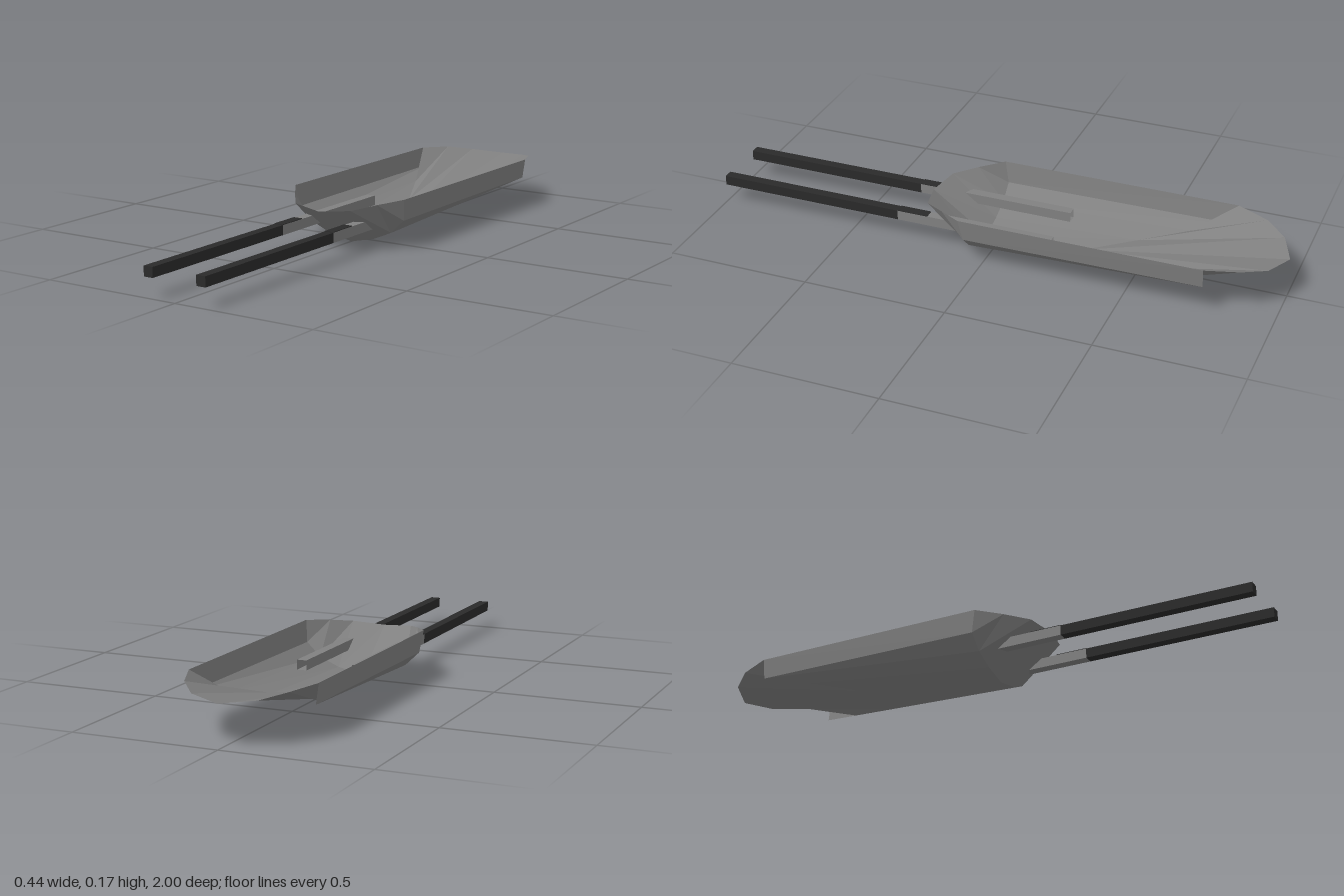
import * as THREE from 'three';

export function createModel() {
  const model = new THREE.Group();
  const steel = new THREE.MeshStandardMaterial({ color: 0x808080, flatShading: true, side: THREE.DoubleSide });
  steel.name = 'grey steel';
  const grip = new THREE.MeshStandardMaterial({ color: 0x2a2a2a });
  grip.name = 'dark grip';

  // Half cross-sections from the centre line out to the rim, front to back
  const rows = [
    [[0, 0.14, 0.25], [0.11, 0.15, 0.225], [0.165, 0.163, 0.15], [0.22, 0.173, 0.07], [0.22, 0.173, 0.07]],
    [[0, 0, 0.055], [0.09, 0.02, 0.055], [0.16, 0.05, 0.055], [0.21, 0.098, 0.055], [0.22, 0.173, 0.07]],
    [[0, 0.02, -0.3], [0.09, 0.042, -0.46], [0.16, 0.075, -0.62], [0.21, 0.105, -0.77], [0.22, 0.173, -0.77]],
    [[0, 0.14, -1], [0.11, 0.15, -0.955], [0.175, 0.165, -0.88], [0.22, 0.173, -0.77], [0.22, 0.173, -0.77]],
  ];
  const pos = [];
  const tri = (a, b, c) => {
    const [u, v, w] = [a, b, c].map((p) => new THREE.Vector3(...p));
    if (v.sub(u).cross(w.sub(u)).length() > 1e-7) pos.push(...a, ...b, ...c);
  };
  for (const s of [1, -1]) {
    const at = (i, j) => [s * rows[i][j][0], rows[i][j][1], rows[i][j][2]];
    for (let i = 0; i < 3; i++) {
      for (let j = 0; j < 4; j++) {
        const [a, b, c, d] = [at(i, j), at(i, j + 1), at(i + 1, j + 1), at(i + 1, j)];
        if (s > 0) { tri(a, b, c); tri(a, c, d); } else { tri(a, c, b); tri(a, d, c); }
      }
    }
  }
  const shell = new THREE.BufferGeometry();
  shell.setAttribute('position', new THREE.Float32BufferAttribute(pos, 3));
  shell.computeVertexNormals();
  const tray = new THREE.Mesh(shell, steel);
  tray.name = 'tray';
  model.add(tray);

  // Two shafts: an open square tube through the tray, then a dark handle
  const size = 0.034, y = 0.083, join = 0.335;
  for (const s of [1, -1]) {
    const shaft = new THREE.Group();
    shaft.name = s > 0 ? 'leftShaft' : 'rightShaft';
    shaft.position.set(s * 0.1, y, 0);

    const length = join + 0.22;
    const r = size / Math.SQRT2;
    const tubeGeo = new THREE.CylinderGeometry(r, r, length, 4, 1, true);
    tubeGeo.rotateY(Math.PI / 4).rotateX(Math.PI / 2);
    const tube = new THREE.Mesh(tubeGeo, steel);
    tube.name = 'tube';
    tube.position.z = join - length / 2;

    const handle = new THREE.Mesh(new THREE.BoxGeometry(size, size, 1 - join), grip);
    handle.name = 'handle';
    handle.position.z = (1 + join) / 2;

    // Dark strip on top of the tube, up to the tray
    const strip = new THREE.Mesh(new THREE.BoxGeometry(size, 0.002, join - 0.225), grip);
    strip.name = 'gripStrip';
    strip.position.set(0, size / 2 + 0.001, (join + 0.225) / 2);

    shaft.add(tube, handle, strip);
    model.add(shaft);
  }
  return model;
}
